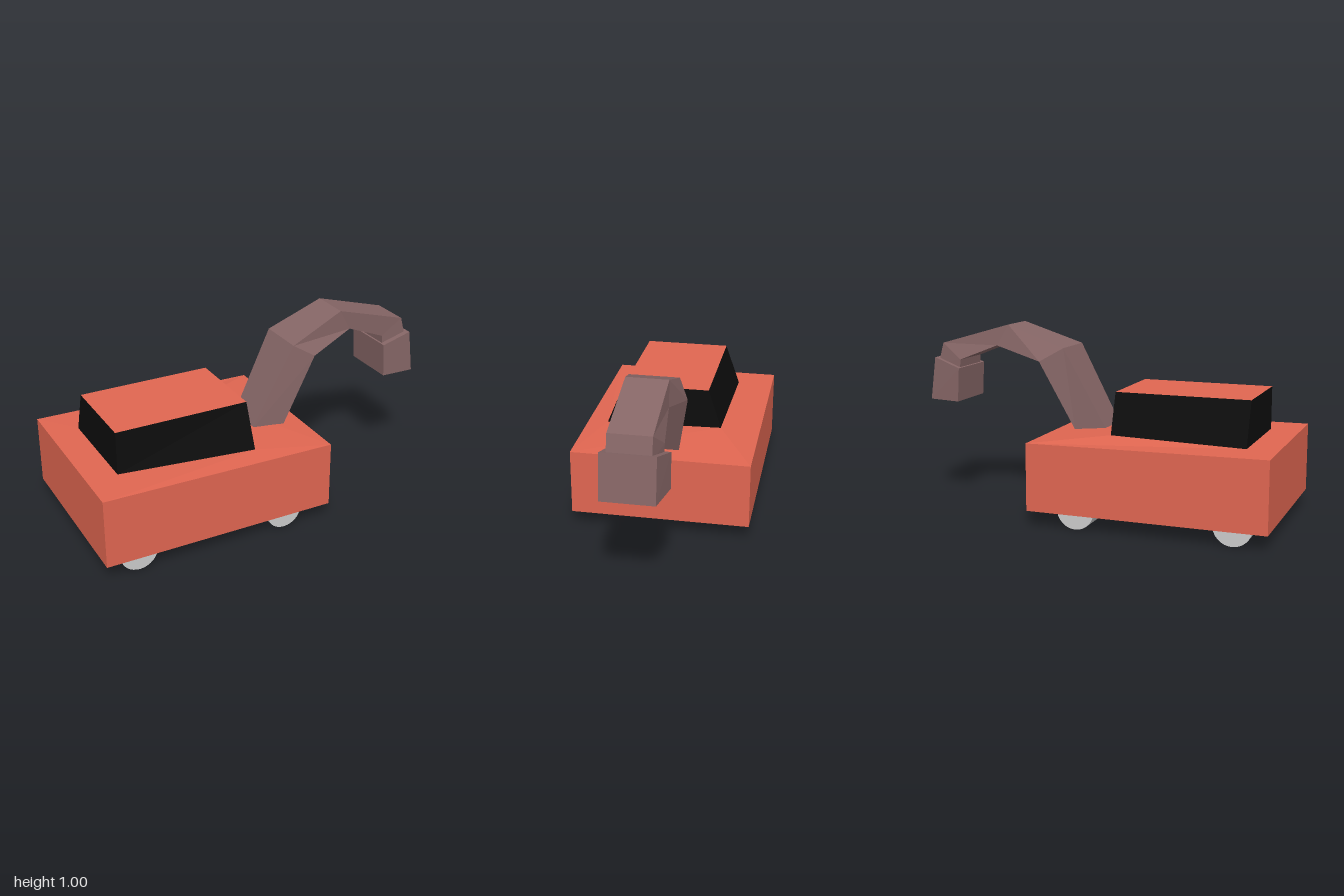
import * as THREE from 'three';

const material = (color) => new THREE.MeshStandardMaterial({ color, flatShading: true });

// Skins a series of four-cornered loops, with optional end caps.
function loft(name, loops, mat, capStart = false, capEnd = false) {
  const points = [];
  const quad = (a, b, c, d) => points.push(...a, ...b, ...c, ...a, ...c, ...d);
  for (let s = 0; s < loops.length - 1; s++) {
    for (let i = 0; i < 4; i++) {
      const j = (i + 1) % 4;
      quad(loops[s][i], loops[s][j], loops[s + 1][j], loops[s + 1][i]);
    }
  }
  if (capStart) quad(...[...loops[0]].reverse());
  if (capEnd) quad(...loops[loops.length - 1]);
  const geometry = new THREE.BufferGeometry();
  geometry.setAttribute('position', new THREE.Float32BufferAttribute(points, 3));
  geometry.computeVertexNormals();
  const mesh = new THREE.Mesh(geometry, mat);
  mesh.name = name;
  return mesh;
}

// Cross-section from two edges, each [x, y, zMax, zMin].
const section = ([x1, y1, f1, b1], [x2, y2, f2, b2]) =>
  [[x1, y1, f1], [x2, y2, f2], [x2, y2, b2], [x1, y1, b1]];

export function createModel() {
  const group = new THREE.Group();
  const red = material(0xe06651);
  const black = material(0x0d0d0d);
  const brown = material(0x866666);
  const grey = material(0xcccccc);

  // Chassis: straight sides and a slightly uneven deck that meets the cab
  const floor = section([-1, 0.08, 0.48, -0.48], [0.26, 0.08, 0.48, -0.48]);
  const rim = section([-1, 0.45, 0.48, -0.48], [0.26, 0.435, 0.48, -0.48]);
  const cabBase = section([-0.84, 0.45, 0.27, -0.28], [-0.125, 0.45, 0.365, -0.27]);
  cabBase[2][1] = 0.465;
  group.add(loft('chassis', [floor, rim, cabBase], red));

  const underside = new THREE.Mesh(new THREE.PlaneGeometry(1.26, 0.96), grey);
  underside.name = 'underside';
  underside.rotation.x = Math.PI / 2;
  underside.position.set(-0.37, 0.08, 0);
  group.add(underside);

  // Cab: dark window band under a red roof
  const cabTop = section([-0.84, 0.68, 0.27, -0.2], [-0.125, 0.68, 0.27, -0.2]);
  group.add(loft('cabWindows', [cabBase, cabTop], black));
  group.add(loft('cabRoof', [cabTop], red, false, true));

  // Digger arm: outer edge, then inner edge, of each bend
  const arm = [
    section([-0.025, 0.44, 0.15, -0.06], [0.15, 0.44, 0.175, -0.085]),
    section([0.21, 0.88, 0.165, -0.1], [0.325, 0.81, 0.19, -0.16]),
    section([0.53, 0.995, 0.11, -0.105], [0.595, 0.88, 0.105, -0.115]),
    section([0.93, 0.88, 0.11, -0.105], [0.81, 0.795, 0.105, -0.135]),
    section([0.96, 0.77, 0.11, -0.105], [0.815, 0.72, 0.105, -0.135]),
  ];
  group.add(loft('arm', arm, brown, true, true));

  // Bucket at the end of the arm
  const bucket = [
    section([0.97, 0.8, 0.14, -0.13], [0.805, 0.75, 0.135, -0.165]),
    section([1, 0.565, 0.14, -0.13], [0.815, 0.565, 0.135, -0.165]),
  ];
  group.add(loft('bucket', bucket, brown, true, true));

  // Wheels
  const wheelGeometry = new THREE.CylinderGeometry(0.1, 0.1, 0.2, 32).rotateX(Math.PI / 2);
  for (const x of [-0.82, 0]) {
    for (const z of [-0.353, 0.357]) {
      const wheel = new THREE.Mesh(wheelGeometry, grey);
      wheel.name = `${x < -0.4 ? 'right' : 'left'}${z > 0 ? 'Front' : 'Back'}Wheel`;
      wheel.position.set(x, 0.1, z);
      group.add(wheel);
    }
  }
  return group;
}
